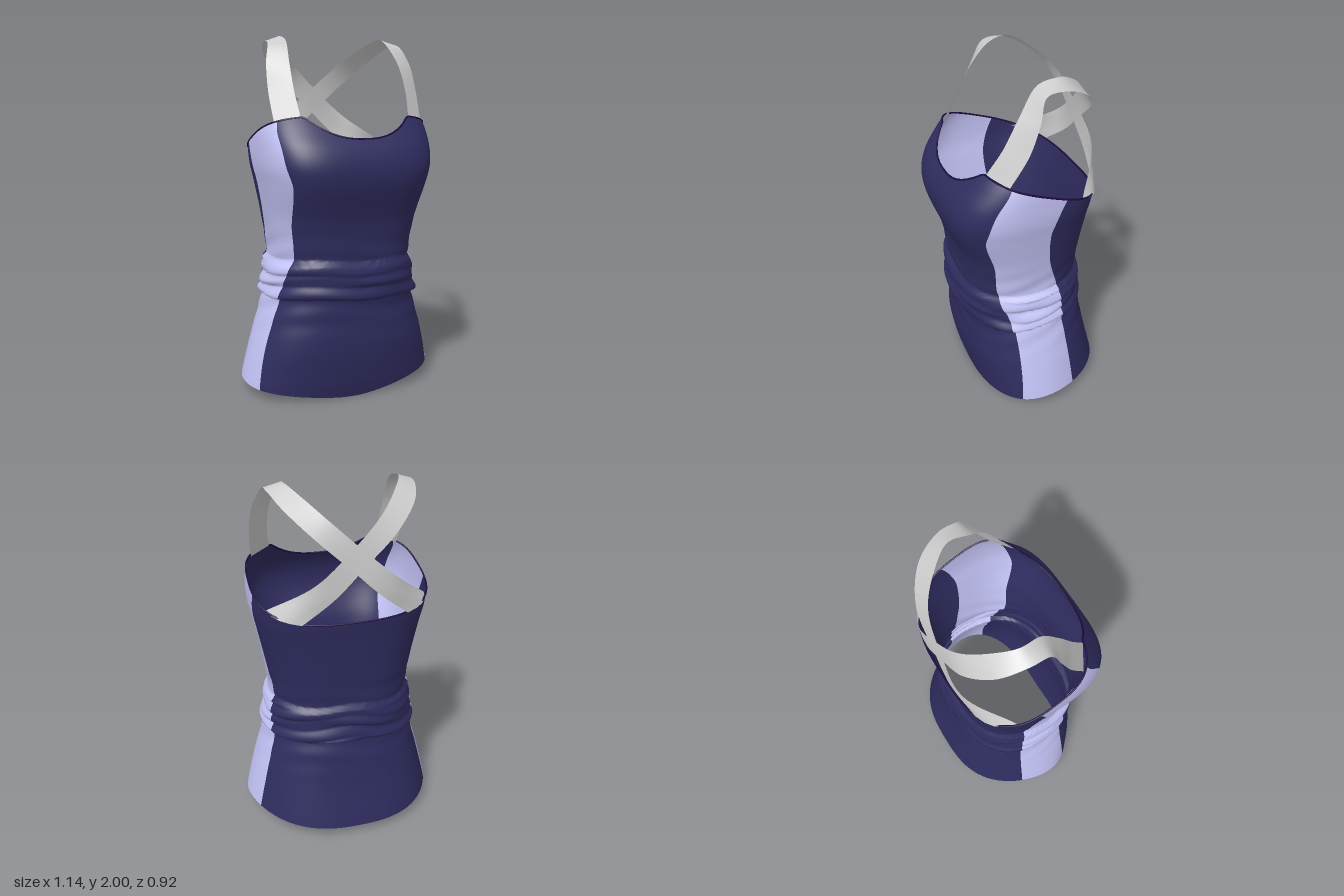
import * as THREE from 'three';

const NAVY = 0x2e2c5e, LAVENDER = 0xc3c3f6, TRIM = 0x1e0a40, GREY = 0xcccccc;

// Body sections: y, half width, front depth, back depth, front exponents in x and z,
// back exponents in x and z, z of the side panel's front seam and (negated) back seam
const SECTIONS = [
  [0.0, 0.585, 0.31, 0.475, 2.4, 2.4, 2.9, 1.6, 0.17, 0.17],
  [0.1, 0.568, 0.335, 0.45, 2.4, 2.4, 2.9, 1.6, 0.165, 0.165],
  [0.3, 0.515, 0.365, 0.40, 2.6, 2.4, 2.9, 1.7, 0.16, 0.15],
  [0.5, 0.452, 0.36, 0.362, 2.8, 2.4, 2.8, 1.9, 0.165, 0.13],
  [0.65, 0.415, 0.365, 0.33, 2.9, 2.4, 2.8, 2.1, 0.19, 0.11],
  [0.8, 0.405, 0.365, 0.32, 3.0, 2.5, 2.8, 2.2, 0.245, 0.09],
  [1.0, 0.43, 0.385, 0.335, 3.4, 2.6, 2.8, 2.3, 0.27, 0.03],
  [1.2, 0.467, 0.45, 0.355, 3.8, 2.9, 2.9, 2.4, 0.33, 0.01],
  [1.3, 0.487, 0.46, 0.37, 3.9, 3.0, 2.9, 2.5, 0.32, 0.03],
  [1.4, 0.493, 0.43, 0.38, 3.9, 3.0, 2.9, 2.6, 0.285, 0.07],
  [1.5, 0.488, 0.36, 0.385, 3.8, 3.0, 2.9, 2.6, 0.22, 0.13],
  [1.6, 0.46, 0.28, 0.39, 3.8, 3.0, 2.9, 2.6, 0.17, 0.15],
];

// Smooth interpolation between sections
function sectionAt(y) {
  const S = SECTIONS, last = S.length - 1;
  y = THREE.MathUtils.clamp(y, 0, 1.6);
  let i = 0;
  while (i < last - 1 && y > S[i + 1][0]) i++;
  const slope = (k, c) => {
    const p = S[Math.max(k - 1, 0)], q = S[Math.min(k + 1, last)];
    return (q[c] - p[c]) / (q[0] - p[0]);
  };
  const h = S[i + 1][0] - S[i][0], t = (y - S[i][0]) / h, t2 = t * t, t3 = t2 * t;
  return S[i].map((v, c) => (2 * t3 - 3 * t2 + 1) * v + (t3 - 2 * t2 + t) * h * slope(i, c)
    + (3 * t2 - 2 * t3) * S[i + 1][c] + (t3 - t2) * h * slope(i + 1, c));
}

// Gathered cloth round the waist
function foldOffset(y, phi) {
  const s = THREE.MathUtils.smoothstep;
  const w = y + 0.008 * Math.sin(2 * phi + 0.5) + 0.006 * Math.sin(5 * phi);
  const band = s(w, 0.575, 0.592) * (1 - s(w, 0.775, 0.787));
  const drift = 0.018 * Math.sin(2 * phi + 1) + 0.01 * Math.sin(3 * phi + 2.5);
  const ridge = Math.abs(Math.sin((w - 0.58 + drift) / 0.066 * Math.PI)) ** 0.7;
  const side = Math.cos(phi) ** 2;
  const depth = 0.7 + 0.3 * Math.sin(4 * phi + 12 * y);
  const soft = Math.exp(-(((y - 0.66) / 0.2) ** 2));
  return band * (0.016 + (0.014 + 0.008 * side) * ridge * depth)
    + soft * 0.005 * Math.sin(y * 50 + 3 * Math.sin(phi * 2) + 2 * phi);
}

function bodyPoint(y, phi) {
  const [, a, f, b, fx, fz, bx, bz] = sectionAt(y);
  const c = Math.cos(phi), s = Math.sin(phi);
  const [d, m, n] = s > 0 ? [f, fx, fz] : [b, bx, bz];
  const cx = Math.abs(c / a), sz = Math.abs(s / d);
  // Radius where the two powers add up to one
  let lo = 0, hi = 1;
  for (let k = 0; k < 24; k++) {
    const r = (lo + hi) / 2;
    if ((cx * r) ** m + (sz * r) ** n > 1) hi = r;
    else lo = r;
  }
  const r = lo + foldOffset(y, phi);
  return new THREE.Vector3(c * r, y, s * r);
}

// Angles of the side panels' seams at a height: left front, right front, back
function seamAngles(y) {
  const [, a, f, b, fx, fz, bx, bz, zf, zb] = sectionAt(y);
  const angle = (z, d, m, n) => Math.atan2(z, a * (1 - (z / d) ** n) ** (1 / m));
  const wider = 0.035 * THREE.MathUtils.smoothstep(y, 0.9, 1.3);
  return [angle(zf, f, fx, fz), angle(zf + wider, f, fx, fz), angle(zb, b, bx, bz)];
}

// Heights of the hem and of the scooped top edge
const hemHeight = (p, s) => 0.085 - (s > 0 ? 0.085 * s ** 1.5 : 0.035 * s * s) + 0.02 * p.x;
function topHeight(p) {
  const k = Math.abs(p.x / 0.305);
  return p.z > 0 && k < 1 ? 1.45 + 0.115 * k ** 2.5 : Math.min(1.455 + 0.37 * p.z, 1.565);
}

// Panels run round the body: left side, front, right side, back
const PANELS = [
  { name: 'leftSidePanel', cols: 20, color: LAVENDER, span: (l, r, b) => [-b, l] },
  { name: 'frontPanel', cols: 52, color: NAVY, span: (l, r) => [l, Math.PI - r] },
  { name: 'rightSidePanel', cols: 20, color: LAVENDER, span: (l, r, b) => [Math.PI - r, Math.PI + b] },
  { name: 'backPanel', cols: 48, color: NAVY, span: (l, r, b) => [Math.PI + b, 2 * Math.PI - b] },
];
const ROWS = 150;

function gridPoint(panel, u, t) {
  const at = (h) => {
    const [lo, hi] = panel.span(...seamAngles(h));
    return lo + (hi - lo) * u;
  };
  const low = at(0.05);
  const hem = hemHeight(bodyPoint(0.05, low), Math.sin(low));
  let y = 0.08 + t * 1.4, p;
  for (let k = 0; k < 10; k++) {
    p = bodyPoint(y, at(y));
    const top = topHeight(t > 0.9 ? p : bodyPoint(1.48, at(1.48)));
    y += 0.6 * (hem + t * (top - hem) - y);
  }
  // Folds droop as they stand out
  p.y = y - 0.5 * foldOffset(y, at(y));
  return p;
}

function addMesh(group, name, geometry, color) {
  const material = new THREE.MeshStandardMaterial({ color, side: THREE.DoubleSide });
  const mesh = new THREE.Mesh(geometry, material);
  mesh.name = name;
  group.add(mesh);
}

function addBody(group) {
  const total = PANELS.reduce((n, p) => n + p.cols, 0);
  const pos = [], all = [], rim = [];
  for (const panel of PANELS) {
    for (let i = 0; i < panel.cols; i++) {
      for (let j = 0; j <= ROWS; j++) {
        const p = gridPoint(panel, i / panel.cols, j / ROWS);
        pos.push(p.x, p.y, p.z);
        if (j === ROWS) rim.push(p);
      }
    }
  }
  const whole = new THREE.BufferGeometry();
  whole.setAttribute('position', new THREE.Float32BufferAttribute(pos, 3));
  let start = 0;
  const indices = PANELS.map((panel) => {
    const index = [];
    for (let i = start; i < start + panel.cols; i++) {
      for (let j = 0; j < ROWS; j++) {
        const a = i * (ROWS + 1) + j, b = ((i + 1) % total) * (ROWS + 1) + j;
        index.push(a, a + 1, b, b, a + 1, b + 1);
      }
    }
    start += panel.cols;
    all.push(...index);
    return index;
  });
  whole.setIndex(all);
  whole.computeVertexNormals();
  // Each panel shares the smooth normals of the whole body
  PANELS.forEach((panel, k) => {
    const geo = new THREE.BufferGeometry();
    geo.setAttribute('position', whole.getAttribute('position'));
    geo.setAttribute('normal', whole.getAttribute('normal'));
    geo.setIndex(indices[k]);
    addMesh(group, panel.name, geo, panel.color);
  });
  // Thin binding along the top edge
  const path = new THREE.CatmullRomCurve3(rim, true);
  addMesh(group, 'neckBinding', new THREE.TubeGeometry(path, 280, 0.005, 6, true), TRIM);
}

// Strap edges from the front corner, over the shoulder, to the far side of the back
const STRAP_OUTER = [[0.435, 1.53, 0.21], [0.455, 1.7, 0.115], [0.445, 1.85, 0.055], [0.4, 1.955, 0.005],
  [0.395, 1.965, -0.1], [0.345, 1.9, -0.24], [0.215, 1.77, -0.34], [0.04, 1.61, -0.365],
  [-0.12, 1.46, -0.373], [-0.29, 1.325, -0.345]];
const STRAP_INNER = [[0.315, 1.56, 0.285], [0.34, 1.7, 0.2], [0.335, 1.85, 0.115], [0.3, 1.975, 0.01],
  [0.305, 2.0, -0.1], [0.25, 1.955, -0.2], [0.135, 1.85, -0.31], [-0.03, 1.7, -0.355],
  [-0.22, 1.54, -0.362], [-0.45, 1.365, -0.19]];

function strapGeometry(side) {
  // The left strap lies over the right one at the crossing; the right one stands closer to the neck
  const place = ([x, y, z], i) => new THREE.Vector3(
    side * x + (side < 0 && i > 0 && i < 3 ? 0.02 : 0), y, z - (side > 0 && i > 5 && i < 9 ? 0.008 : 0));
  const [outer, inner] = [STRAP_OUTER, STRAP_INNER].map((e) => new THREE.CatmullRomCurve3(e.map(place)));
  const N = 72, M = 4, pos = [], index = [];
  for (let i = 0; i <= N; i++) {
    const a = outer.getPoint(i / N), b = inner.getPoint(i / N);
    // The ends hug the rounded back
    const bow = 0.025 * THREE.MathUtils.smoothstep(i / N, 0.85, 1);
    for (let j = 0; j <= M; j++) {
      const p = a.clone().lerp(b, j / M);
      const bulge = bow * Math.sin(j / M * Math.PI);
      pos.push(p.x - side * bulge, p.y, p.z - bulge);
      if (i < N && j < M) {
        const k = i * (M + 1) + j, l = k + M + 1;
        if (side > 0) index.push(k, l, k + 1, k + 1, l, l + 1);
        else index.push(k, k + 1, l, k + 1, l + 1, l);
      }
    }
  }
  const geo = new THREE.BufferGeometry();
  geo.setAttribute('position', new THREE.Float32BufferAttribute(pos, 3));
  geo.setIndex(index);
  geo.computeVertexNormals();
  return geo;
}

export function createModel() {
  const group = new THREE.Group();
  group.name = 'tankTop';
  addBody(group);
  addMesh(group, 'leftStrap', strapGeometry(1), GREY);
  addMesh(group, 'rightStrap', strapGeometry(-1), GREY);
  return group;
}
